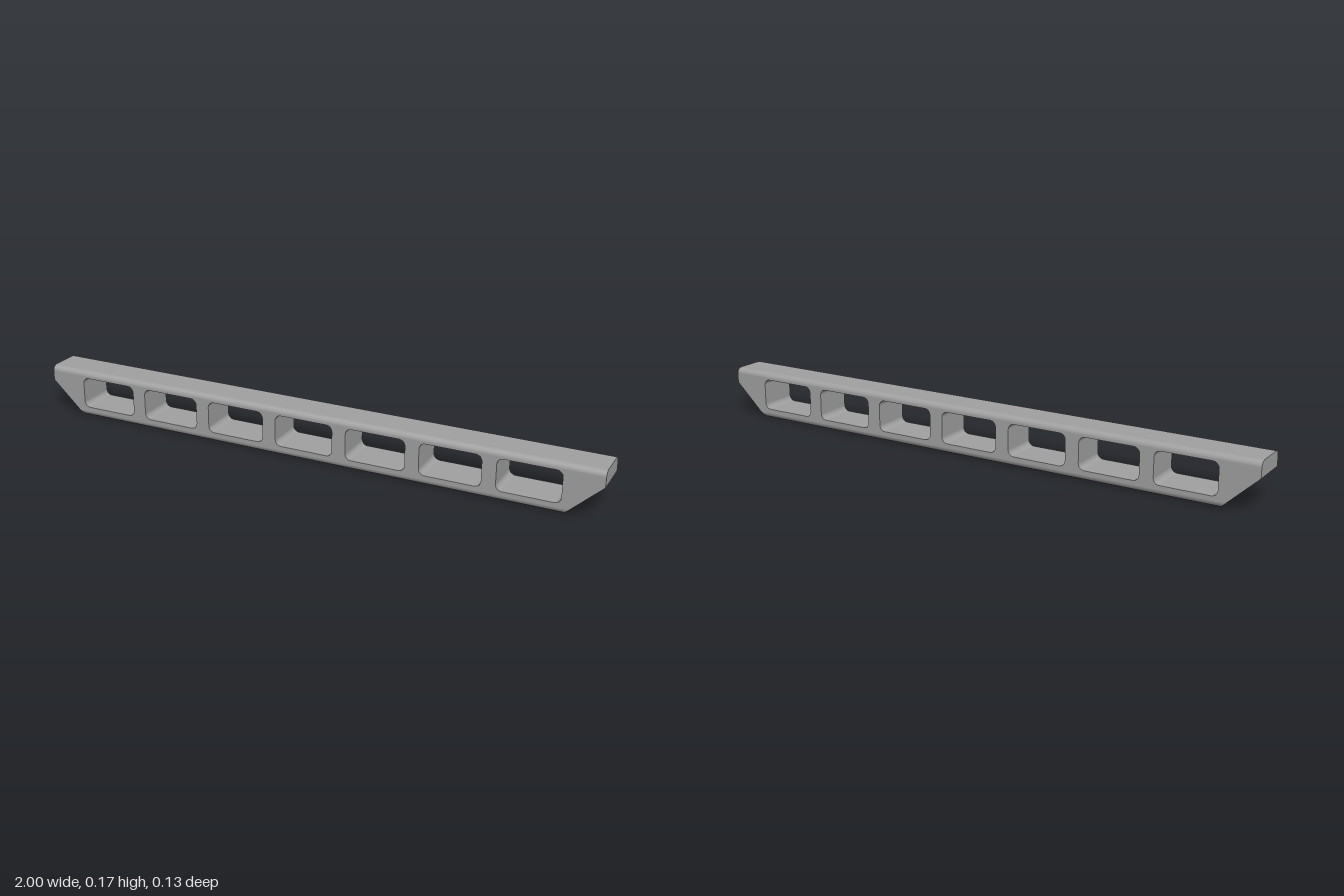
import * as THREE from 'three';

const H = 0.168, W = 0.067, R = 0.02, KINK = 0.115, FOOT = 0.877;
const SEG = 4;

// half length of the beam at height y: straight tips above the kink, slanted below
const endX = (y) => (y >= KINK ? 1 : FOOT + (1 - FOOT) * (y / KINK));

// collects quads; each corner is { p, n }, and winding follows the normals
function surface() {
  const pos = [], nor = [];
  const tri = (a, b, c) => {
    const n = b.p.clone().sub(a.p).cross(c.p.clone().sub(a.p));
    const sum = a.n.clone().add(b.n).add(c.n);
    for (const v of n.dot(sum) < 0 ? [a, c, b] : [a, b, c]) {
      pos.push(...v.p.toArray());
      nor.push(...v.n.toArray());
    }
  };
  return {
    quad(a, b, c, d) { tri(a, b, c); tri(a, c, d); },
    geometry() {
      const g = new THREE.BufferGeometry();
      g.setAttribute('position', new THREE.Float32BufferAttribute(pos, 3));
      g.setAttribute('normal', new THREE.Float32BufferAttribute(nor, 3));
      return g;
    },
  };
}
const corner = (x, y, z, nx, ny, nz) =>
  ({ p: new THREE.Vector3(x, y, z), n: new THREE.Vector3(nx, ny, nz).normalize() });

// rounded rectangle outline with outward normals
function roundedOutline(cx, cy, hw, hh, r) {
  const pts = [];
  [[1, 1], [-1, 1], [-1, -1], [1, -1]].forEach(([sx, sy], k) => {
    for (let i = 0; i <= SEG; i++) {
      const t = (k + i / SEG) * Math.PI / 2, c = Math.cos(t), s = Math.sin(t);
      pts.push({ x: cx + sx * (hw - r) + r * c, y: cy + sy * (hh - r) + r * s, nx: c, ny: s });
    }
  });
  return pts;
}

export function createModel() {
  const group = new THREE.Group();
  group.name = 'slottedBeam';
  const grey = new THREE.MeshStandardMaterial({ color: 0xa0a0a0 });
  grey.name = 'grey';
  const add = (geometry, name) => {
    const mesh = new THREE.Mesh(geometry, grey);
    mesh.name = name;
    group.add(mesh);
    return mesh;
  };

  // seven slots
  const slots = [];
  for (let i = -3; i <= 3; i++) slots.push(roundedOutline(i * 0.2557, 0.0885, 0.104, 0.0545, 0.02));

  // front and back panels, pierced by the slots
  const face = new THREE.Shape([
    [-endX(R), R], [endX(R), R], [1, KINK], [1, H - R], [-1, H - R], [-1, KINK],
  ].map(([x, y]) => new THREE.Vector2(x, y)));
  for (const slot of slots) face.holes.push(new THREE.Path(slot.map((p) => new THREE.Vector2(p.x, p.y))));
  const panel = new THREE.ShapeGeometry(face);
  add(panel, 'frontPanel').position.z = W;
  const back = add(panel, 'backPanel');
  back.position.z = -W;
  back.rotation.y = Math.PI;

  // slot linings
  const lining = surface();
  for (const slot of slots) {
    slot.forEach((a, i) => {
      const b = slot[(i + 1) % slot.length];
      const at = (q, z) => corner(q.x, q.y, z, -q.nx, -q.ny, 0);
      lining.quad(at(a, W), at(b, W), at(b, -W), at(a, -W));
    });
  }
  add(lining.geometry(), 'slotLinings');

  // top, bottom and rounded long edges: the cross-section swept along x
  const skin = surface();
  const section = roundedOutline(0, H / 2, W, H / 2, R);
  section.forEach((a, i) => {
    const b = section[(i + 1) % section.length];
    if (Math.abs(a.x - b.x) < 1e-6) return; // the panels fill the sides
    const at = (q, s) => corner(s * endX(q.y), q.y, q.x, 0, q.ny, q.nx);
    skin.quad(at(a, -1), at(a, 1), at(b, 1), at(b, -1));
  });
  add(skin.geometry(), 'roundedTopAndBottom');

  // end faces, row by row up the cross-section
  const rows = section.filter((q) => q.x > 0).map((q) => ({ y: q.y, w: q.x }));
  rows.push({ y: KINK, w: W });
  rows.sort((a, b) => a.y - b.y);
  const ends = surface();
  for (const s of [-1, 1]) {
    for (let i = 0; i + 1 < rows.length; i++) {
      const a = rows[i], b = rows[i + 1];
      const slanted = a.y < KINK - 1e-6;
      const n = slanted ? [s * KINK, FOOT - 1, 0] : [s, 0, 0];
      const at = (q, z) => corner(s * endX(q.y), q.y, z * q.w, ...n);
      ends.quad(at(a, -1), at(a, 1), at(b, 1), at(b, -1));
    }
  }
  add(ends.geometry(), 'endFaces');

  return group;
}
